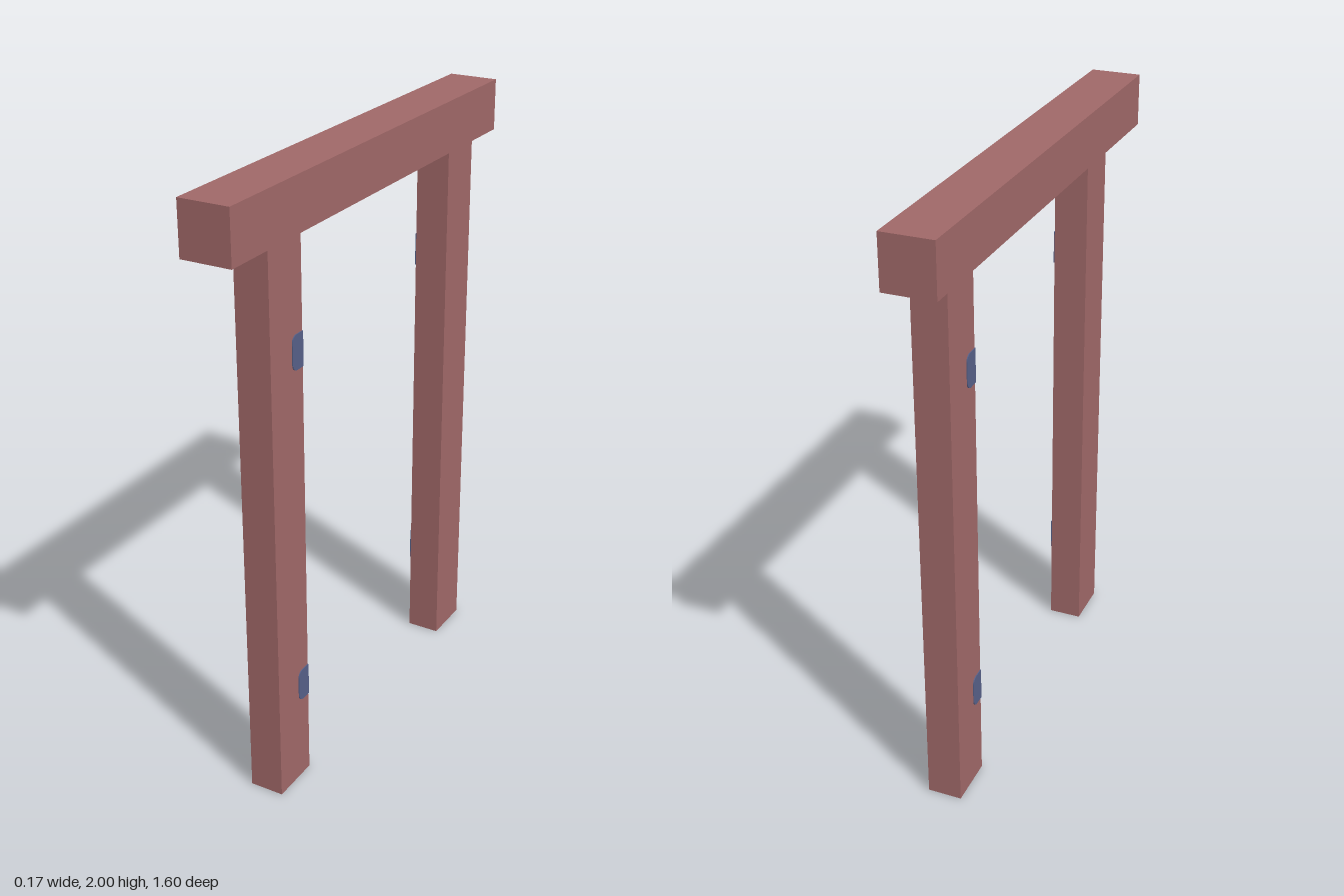
import * as THREE from 'three';

export function createModel() {
  const model = new THREE.Group();
  model.name = 'doorFrame';
  const wood = new THREE.MeshStandardMaterial({ color: 0xa06868 });
  wood.name = 'reddish wood';
  const steel = new THREE.MeshStandardMaterial({ color: 0x566088 });
  steel.name = 'blue steel';

  // Box given by its minimum and maximum corners
  const beam = (name, min, max) => {
    const size = max.map((v, i) => v - min[i]);
    const mesh = new THREE.Mesh(new THREE.BoxGeometry(...size), wood);
    mesh.position.set(...max.map((v, i) => (v + min[i]) / 2));
    mesh.name = name;
    model.add(mesh);
  };

  const half = 0.083, postBack = -0.03, top = 1.83;
  const inner = 0.458, outer = 0.628;
  beam('lintel', [-half, top, -0.8], [half, 2, 0.8]);
  beam('frontPost', [postBack, 0, inner], [half, top, outer]);
  beam('backPost', [postBack, 0, -outer], [half, top, -inner]);

  // Hinge leaf: straight along the opening, rounded on the other side
  const w = 0.057, h = 0.055, r = 0.022, thick = 0.003;
  const leaf = new THREE.Shape();
  leaf.moveTo(0, -h);
  leaf.lineTo(w - r, -h);
  leaf.absarc(w - r, -h + r, r, -Math.PI / 2, 0, false);
  leaf.absarc(w - r, h - r, r, 0, Math.PI / 2, false);
  leaf.lineTo(0, h);
  leaf.closePath();
  const leafGeometry = new THREE.ExtrudeGeometry(leaf, {
    depth: thick, bevelEnabled: false, curveSegments: 6,
  });

  // Two hinges on the +x side of the front post, two on the -x side of the back post
  for (const y of [0.345, 1.485]) {
    for (const side of [1, -1]) {
      const hinge = new THREE.Mesh(leafGeometry, steel);
      hinge.name = side > 0 ? 'frontPostHinge' : 'backPostHinge';
      hinge.rotation.y = -side * Math.PI / 2;
      hinge.position.set(side > 0 ? half + thick : postBack - thick, y, side * inner);
      model.add(hinge);
    }
  }
  return model;
}
